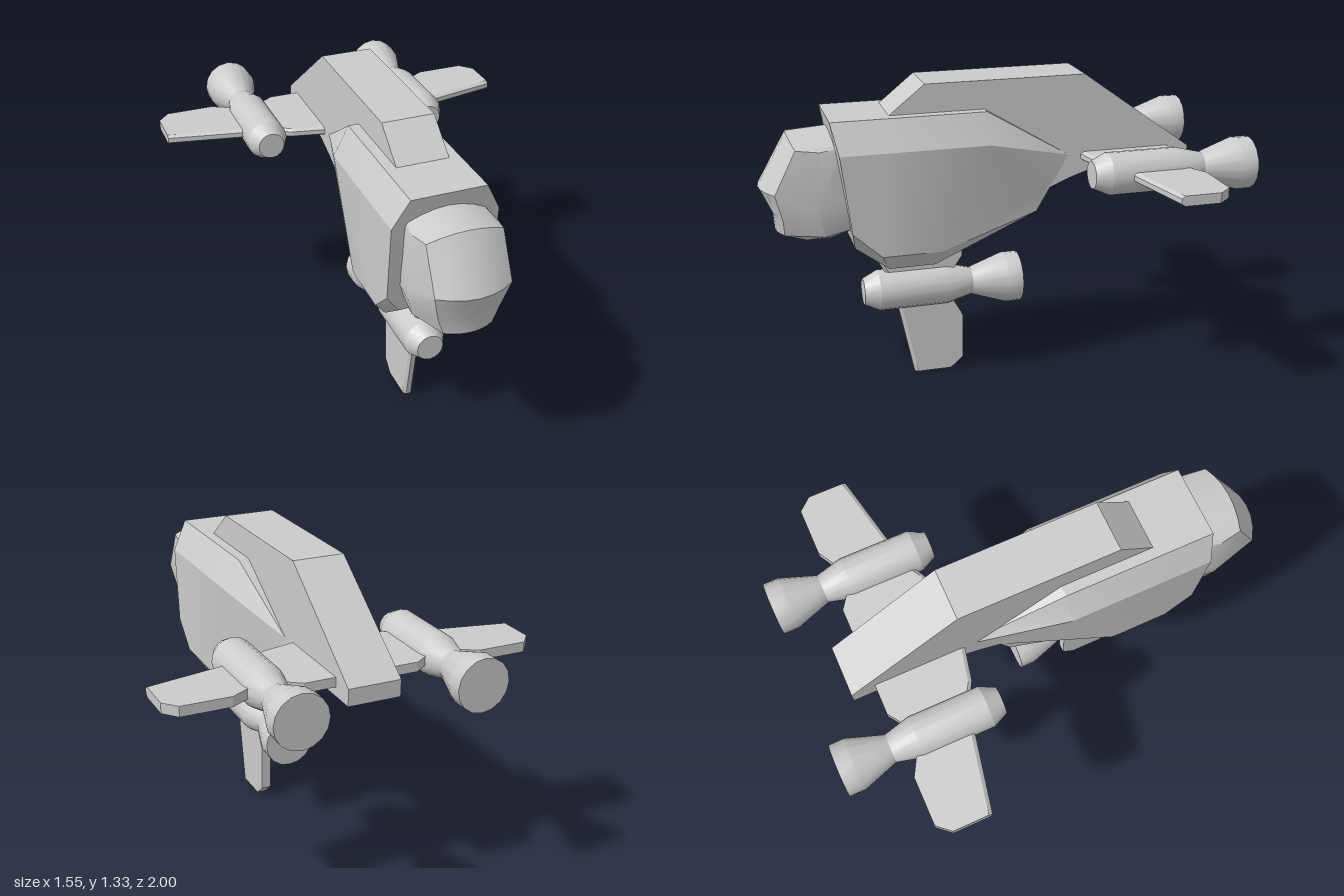
import * as THREE from 'three';
import { toCreasedNormals } from 'three/addons/utils/BufferGeometryUtils.js';
import { ConvexGeometry } from 'three/addons/geometries/ConvexGeometry.js';

const material = new THREE.MeshStandardMaterial({ color: 0xcccccc });

function addMesh(parent, name, geometry) {
  const mesh = new THREE.Mesh(geometry, material);
  mesh.name = name;
  parent.add(mesh);
  return mesh;
}

// Skin between rows of points; closed rows are rings with end caps
function loft(rows, closed, crease) {
  const n = rows[0].length;
  const index = [];
  for (let i = 0; i < rows.length - 1; i++) {
    for (let j = 0; j < (closed ? n : n - 1); j++) {
      const k = (j + 1) % n;
      const a = i * n + j, b = i * n + k, c = b + n, d = a + n;
      index.push(a, d, b, b, d, c);
    }
  }
  if (closed) {
    const e = (rows.length - 1) * n;
    for (let j = 1; j < n - 1; j++) index.push(0, j, j + 1, e, e + j + 1, e + j);
  }
  const geometry = new THREE.BufferGeometry();
  geometry.setAttribute('position', new THREE.Float32BufferAttribute(rows.flat(2), 3));
  geometry.setIndex(index);
  return toCreasedNormals(geometry, crease);
}

// Eight-sided hull ring from its right half, bottom to top
function hullRing(half) {
  return [...half, ...[...half].reverse().map(([x, y, z]) => [-x, y, z])];
}

function hull() {
  return loft([
    [[0.165, 0.67, 0.635], [0.22, 0.75, 0.65], [0.22, 1.08, 0.69], [0.155, 1.205, 0.715]],
    [[0.165, 0.565, 0.495], [0.22, 0.64, 0.53], [0.22, 1.08, 0.5], [0.155, 1.205, 0.5]],
    [[0.165, 0.565, 0.3], [0.22, 0.64, 0.28], [0.22, 1.08, 0.07], [0.155, 1.205, 0.07]],
    [[0.11, 0.74, -0.16], [0.11, 0.83, -0.2], [0.11, 0.98, -0.3], [0.11, 1.035, -0.21]],
  ].map(hullRing), true, 0.4);
}

// Cockpit row: curved front plus a cheek and a rear point on each side
function cockpitRow({ w, y, z, dy = 0, dz = 0, cheek, rear }) {
  const row = [rear, cheek].map(([px, py, pz]) => [-px, py, pz]);
  for (let i = -3; i <= 3; i++) {
    const u = i / 3;
    row.push([w * u, y - dy * u * u, z - dz * u * u]);
  }
  row.push(cheek, rear);
  return row;
}

function cockpit() {
  return loft([
    { w: 0.155, y: 1.15, z: 0.68, dy: 0.045, cheek: [0.158, 1.1, 0.68], rear: [0.16, 1.09, 0.67] },
    { w: 0.155, y: 1.135, z: 0.875, dy: 0.035, dz: 0.02, cheek: [0.17, 1.09, 0.76], rear: [0.165, 1.08, 0.67] },
    { w: 0.155, y: 0.92, z: 1, dz: 0.055, cheek: [0.182, 0.87, 0.78], rear: [0.165, 0.88, 0.64] },
    { w: 0.125, y: 0.8, z: 0.945, dz: 0.03, cheek: [0.178, 0.8, 0.77], rear: [0.165, 0.8, 0.63] },
    { w: 0.1, y: 0.73, z: 0.94, dz: 0.03, cheek: [0.16, 0.73, 0.75], rear: [0.15, 0.755, 0.62] },
    { w: 0.065, y: 0.69, z: 0.82, cheek: [0.12, 0.71, 0.73], rear: [0.13, 0.75, 0.62] },
    { w: 0.065, y: 0.755, z: 0.62, cheek: [0.1, 0.755, 0.62], rear: [0.12, 0.755, 0.62] },
  ].map(cockpitRow), false, 0.42);
}

// Dorsal spine running back into the tail
function spine() {
  const profile = [
    [0.475, 1.2], [0.32, 1.325], [-0.365, 1.325], [-0.845, 0.98], [-0.845, 0.91],
    [-0.42, 0.915], [-0.3, 0.875], [-0.17, 0.82], [0.1, 1.0],
  ];
  const shape = new THREE.Shape(profile.map((p) => new THREE.Vector2(...p)));
  const geometry = new THREE.ExtrudeGeometry(shape, { depth: 0.22, bevelEnabled: false });
  return geometry.translate(0, 0, -0.11).rotateY(-Math.PI / 2);
}

// Flat blade in the xz plane with a thinner, chamfered leading edge
function blade(outline, leading, half) {
  const points = [];
  for (const s of [-1, 1]) {
    outline.forEach(([x, z]) => points.push(new THREE.Vector3(x, s * half, z)));
    leading.forEach(([x, z]) => points.push(new THREE.Vector3(x, s * half * 0.5, z)));
  }
  return new ConvexGeometry(points);
}

// Engine turned around the z axis, nose at z = -0.31
function engineBody() {
  const profile = [
    [0, -1], [0.11, -1], [0.11, -0.935], [0.06, -0.785], [0.088, -0.675],
    [0.088, -0.375], [0.057, -0.31], [0, -0.31],
  ].map((p) => new THREE.Vector2(...p));
  const geometry = new THREE.LatheGeometry(profile, 16).rotateX(Math.PI / 2);
  return toCreasedNormals(geometry, 0.42);
}

// Engine with its strut toward the hull (-x) and its fin outward (+x)
function engineUnit(name, x, y, z, angle) {
  const unit = new THREE.Group();
  unit.name = name;
  addMesh(unit, 'engine', engineBody());
  addMesh(unit, 'strut', blade(
    [[-0.28, -0.745], [-0.13, -0.745], [-0.085, -0.69], [-0.05, -0.69],
      [-0.05, -0.44], [-0.12, -0.4], [-0.28, -0.365]],
    [[-0.05, -0.425], [-0.12, -0.385], [-0.28, -0.35]], 0.02));
  addMesh(unit, 'fin', blade(
    [[0.05, -0.69], [0.085, -0.69], [0.15, -0.745], [0.355, -0.745], [0.404, -0.69],
      [0.404, -0.54], [0.05, -0.468]],
    [[0.404, -0.525], [0.05, -0.452]], 0.021));
  unit.position.set(x, y, z);
  unit.rotation.z = angle;
  return unit;
}

export function createModel() {
  const model = new THREE.Group();
  model.name = 'spacecraft';
  addMesh(model, 'hull', hull());
  addMesh(model, 'cockpit', cockpit());
  addMesh(model, 'spine', spine());
  model.add(
    engineUnit('leftEngine', 0.37, 0.968, 0, 0),
    engineUnit('rightEngine', -0.37, 0.968, 0, Math.PI),
    engineUnit('lowerEngine', 0, 0.404, 0.893, -Math.PI / 2),
  );
  return model;
}
